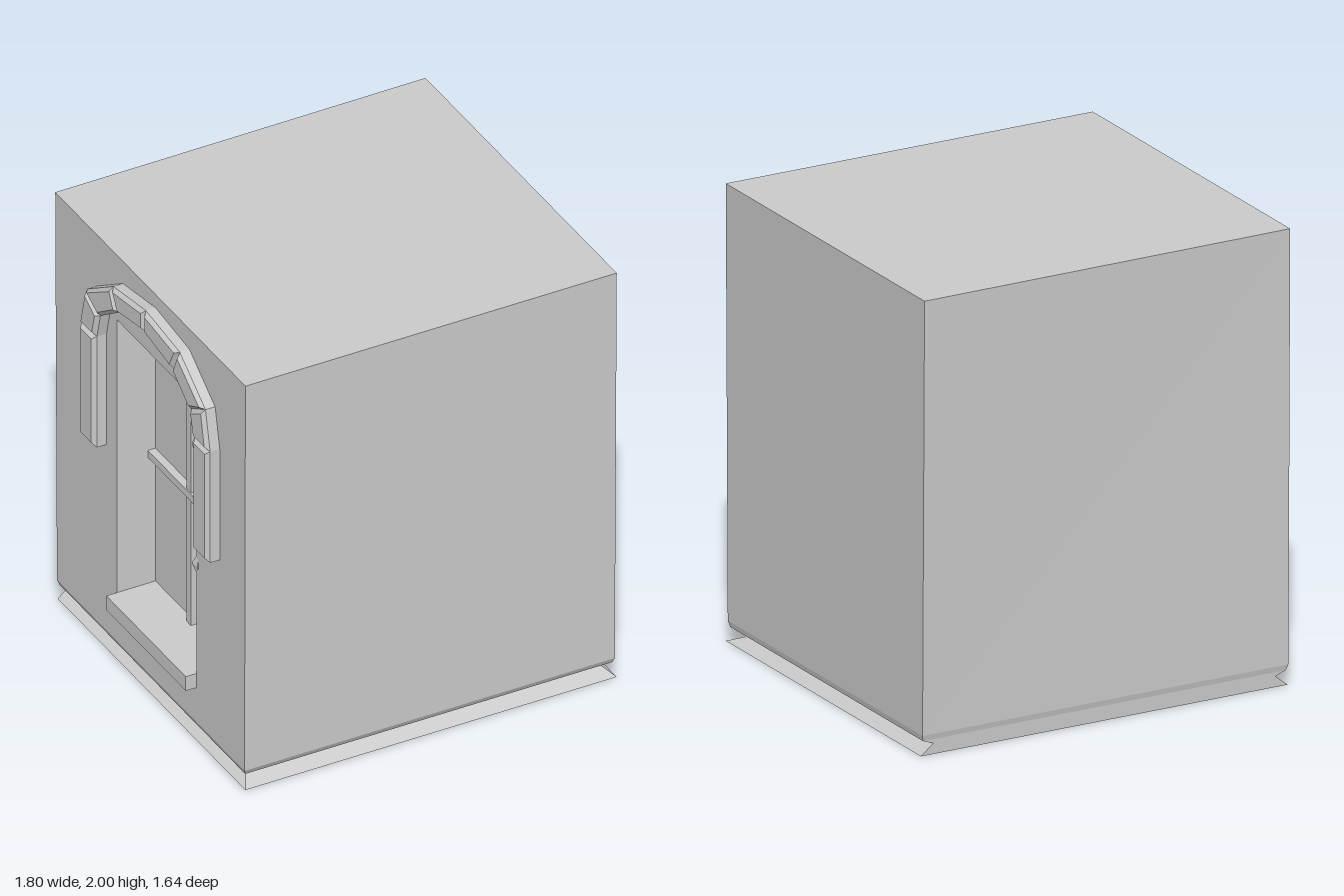
import * as THREE from 'three';

const material = new THREE.MeshStandardMaterial({ color: 0xcccccc, flatShading: true });
const WALL = -0.84;   // x of the window wall
const PANE = -0.66;   // x of the recessed pane
const WINDOW = { z0: -0.28, z1: 0.4, y0: 0.33, y1: 1.68 };

function addMesh(parent, name, geometry) {
  const mesh = new THREE.Mesh(geometry, material);
  mesh.name = name;
  parent.add(mesh);
  return mesh;
}

function addBox(parent, name, size, position) {
  addMesh(parent, name, new THREE.BoxGeometry(...size)).position.set(...position);
}

// Flat surfaces from quads, corners counter-clockwise
function quadGeometry(quads) {
  const positions = quads.flatMap(([a, b, c, d]) => [a, b, c, a, c, d].flat());
  const geometry = new THREE.BufferGeometry();
  geometry.setAttribute('position', new THREE.Float32BufferAttribute(positions, 3));
  geometry.computeVertexNormals();
  return geometry;
}

const outline = (points) => points.map(([z, y]) => new THREE.Vector2(z, y));

// Block body: rectangular rings stacked upward, with an undercut at the foot
function bodyGeometry() {
  const rows = [ // y, left x, right x, back z, front z
    [0, -0.84, 0.9, -0.79, 0.82],
    [0.047, -0.78, 0.84, -0.79, 0.71],
    [0.065, -0.83, 0.89, -0.79, 0.8],
    [0.09, WALL, 0.895, -0.795, 0.812],
    [2, WALL, 0.9, -0.82, 0.82],
  ];
  const rings = rows.map(([y, x0, x1, zb, zf]) => [[x0, y, zf], [x1, y, zf], [x1, y, zb], [x0, y, zb]]);
  rings[4][3][2] = -0.81;
  const quads = [rings[4], [...rings[0]].reverse()];
  for (let r = 0; r < 4; r++) {
    for (let i = 0; i < 4; i++) {
      if (r === 3 && i === 3) continue; // the window wall closes this side
      const j = (i + 1) % 4;
      quads.push([rings[r][i], rings[r][j], rings[r + 1][j], rings[r + 1][i]]);
    }
  }
  return quadGeometry(quads);
}

// Corners of the window opening at a given depth
function openingCorners(x) {
  const { z0, z1, y0, y1 } = WINDOW;
  return [[x, y0, z0], [x, y0, z1], [x, y1, z1], [x, y1, z0]];
}

// Wall with the opening cut out
function wallGeometry() {
  const shape = new THREE.Shape(outline([[-0.795, 0.09], [0.812, 0.09], [0.82, 2], [-0.81, 2]]));
  shape.holes.push(new THREE.Path(outline(openingCorners(0).map(([, y, z]) => [z, y]))));
  return new THREE.ShapeGeometry(shape).rotateY(-Math.PI / 2).translate(WALL, 0, 0);
}

// Jambs, floor and ceiling of the opening plus the pane behind
function recessGeometry() {
  const front = openingCorners(WALL);
  const back = openingCorners(PANE);
  const sides = front.map((p, i) => [p, front[(i + 1) % 4], back[(i + 1) % 4], back[i]]);
  return quadGeometry([...sides, back]);
}

// Bevelled stone with an outline in the wall plane
function stoneGeometry(points) {
  return new THREE.ExtrudeGeometry(new THREE.Shape(outline(points)), {
    depth: 0.045, bevelThickness: 0.017, bevelSize: 0.018, bevelOffset: -0.018, bevelSegments: 1,
  }).rotateY(-Math.PI / 2).translate(WALL, 0, 0);
}

export function createModel() {
  const model = new THREE.Group();
  addMesh(model, 'body', bodyGeometry());
  addMesh(model, 'windowWall', wallGeometry());

  const window = new THREE.Group();
  window.name = 'window';
  model.add(window);
  addMesh(window, 'recess', recessGeometry());

  // Glazing bars and sill
  const midZ = (WINDOW.z0 + WINDOW.z1) / 2;
  const midY = (WINDOW.y0 + WINDOW.y1) / 2;
  const width = WINDOW.z1 - WINDOW.z0;
  addBox(window, 'verticalBar', [0.03, WINDOW.y1 - WINDOW.y0, 0.04], [PANE - 0.015, midY, midZ]);
  addBox(window, 'horizontalBar', [0.036, 0.035, width], [PANE - 0.018, 0.97, midZ]);
  addBox(window, 'sill', [0.09, 0.07, width], [WALL - 0.005, 0.295, midZ]);

  // Chipped spots on the jamb edge
  for (const [y, height] of [[1.46, 0.09], [0.87, 0.06]]) {
    const chip = addMesh(window, 'jambChip', new THREE.OctahedronGeometry(1));
    chip.scale.set(0.012, height, 0.035);
    chip.position.set(WALL + 0.006, y, WINDOW.z1 + 0.01);
    chip.rotation.y = 0.5;
  }

  // Arch stones between matching outer and inner points
  const outer = [[-0.5, 1.56], [-0.455, 1.745], [-0.23, 1.89], [0.05, 1.935], [0.34, 1.9], [0.56, 1.745], [0.6, 1.56]];
  const inner = [[-0.37, 1.56], [-0.34, 1.68], [-0.18, 1.79], [0.05, 1.83], [0.29, 1.79], [0.44, 1.68], [0.47, 1.56]];
  for (let i = 0; i < outer.length - 1; i++) {
    addMesh(window, 'archStone', stoneGeometry([outer[i], inner[i], inner[i + 1], outer[i + 1]]));
  }

  // Long stones hanging below each end of the arch
  for (const [z0, z1] of [[-0.5, -0.37], [0.47, 0.6]]) {
    addMesh(window, 'sideStone', stoneGeometry([[z0, 1.01], [z1, 1.01], [z1, 1.56], [z0, 1.56]]));
  }
  return model;
}
